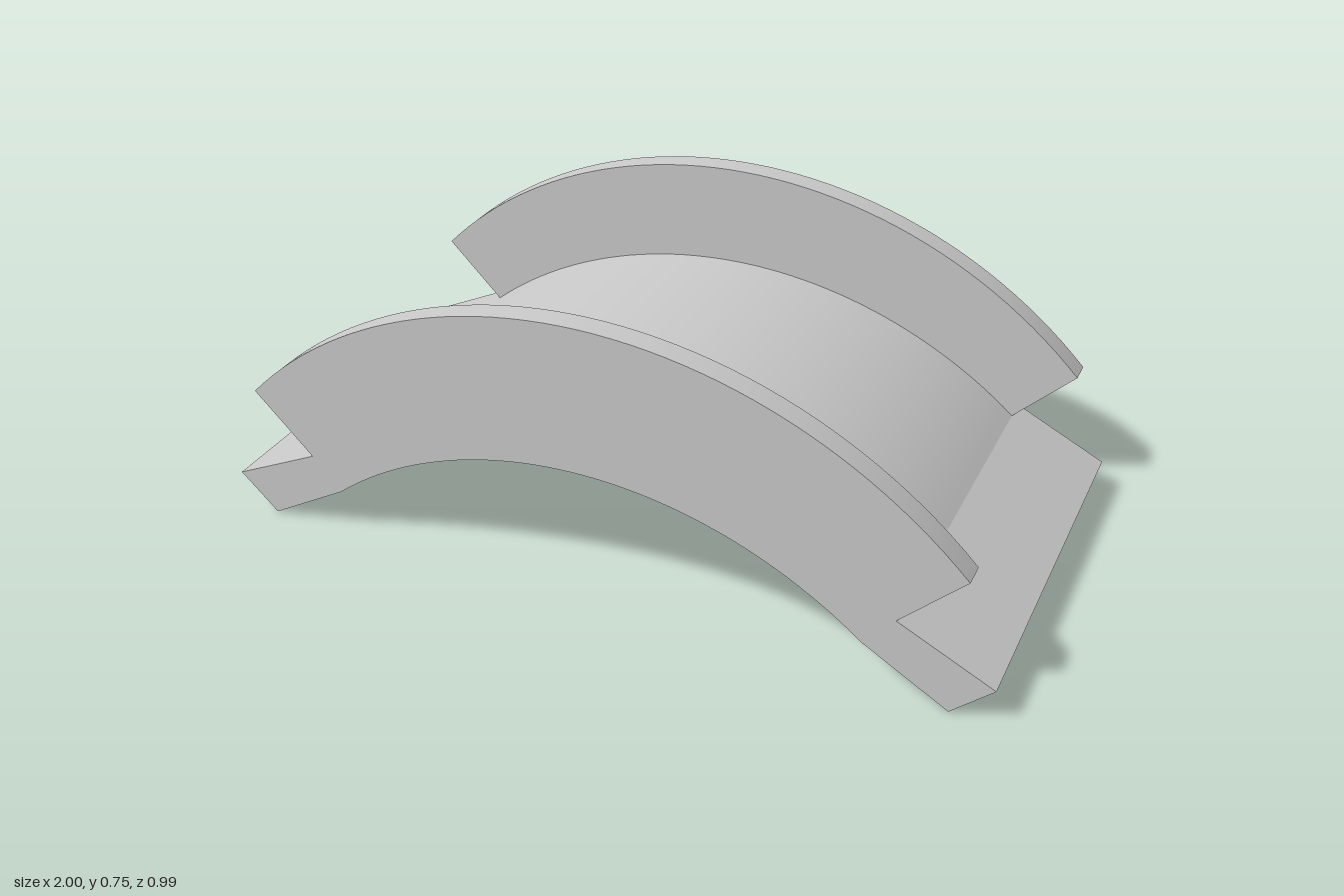
import * as THREE from 'three';
import { toCreasedNormals } from 'three/addons/utils/BufferGeometryUtils.js';

const HALF_DEPTH = 0.495;
const RIM = 0.061;

// Points of a symmetric arch from (-x, y) over (0, apex) to (x, y)
function arch(x, y, apex, steps = 48) {
  const rise = apex - y;
  const r = (x * x + rise * rise) / (2 * rise);
  const a = Math.asin(x / r);
  return Array.from({ length: steps + 1 }, (_, i) => {
    const t = -a + (2 * a * i) / steps;
    return new THREE.Vector2(r * Math.sin(t), apex - r + r * Math.cos(t));
  });
}

// Extrudes a side profile along z, smooth on the arches and sharp at corners
function slab(name, points, depth, zBack, material) {
  const geometry = new THREE.ExtrudeGeometry(new THREE.Shape(points), { depth, bevelEnabled: false });
  const mesh = new THREE.Mesh(toCreasedNormals(geometry, 0.12), material);
  mesh.position.z = zBack;
  mesh.name = name;
  return mesh;
}

export function createModel() {
  const group = new THREE.Group();
  group.name = 'archedSaddle';
  const material = new THREE.MeshStandardMaterial({ color: 0xcccccc });
  const p = (x, y) => new THREE.Vector2(x, y);

  const saddleTop = arch(0.765, 0.208, 0.487);
  const underside = arch(0.69, 0.122, 0.37).reverse();
  const rimTop = arch(0.918, 0.36, 0.75).reverse();

  // Curved plate with a straight sloping foot at each end
  const plate = [...saddleTop, p(1, 0.094), p(0.9, 0), ...underside, p(-0.9, 0), p(-1, 0.094)];
  group.add(slab('curvedPlate', plate, HALF_DEPTH * 2, -HALF_DEPTH, material));

  // Raised rims along the front and back edges
  const rim = [...saddleTop, ...rimTop];
  group.add(slab('frontRim', rim, RIM, HALF_DEPTH - RIM, material));
  group.add(slab('backRim', rim, RIM, -HALF_DEPTH, material));

  return group;
}
